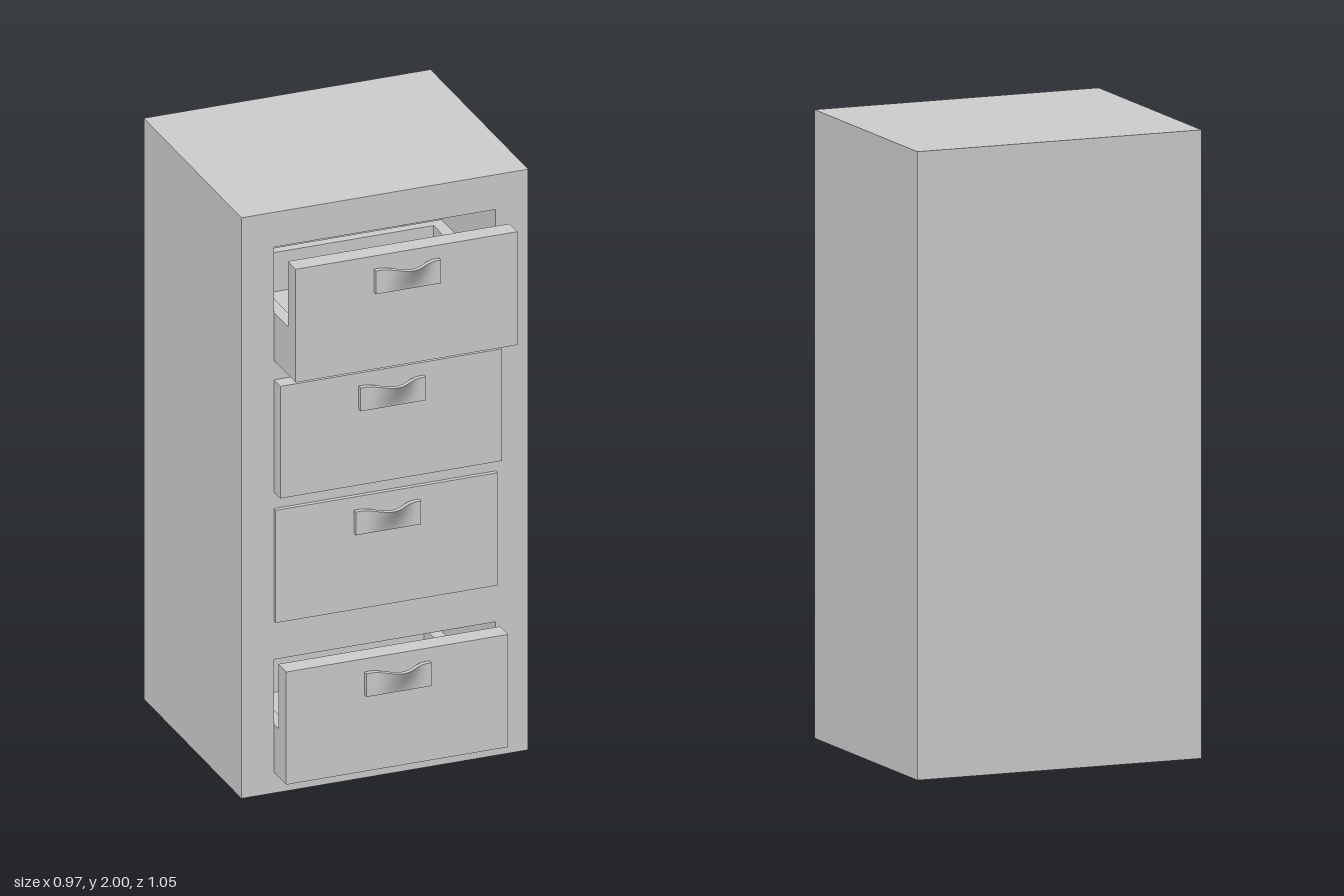
import * as THREE from 'three';

const material = new THREE.MeshStandardMaterial({ color: 0xcccccc });
const HALF_W = 0.485, BACK = -0.525, FACE = 0.285, CAVITY_BACK = -0.48;
const DRAWER_W = 0.75, PANEL_T = 0.065, TRAY_L = 0.565, TRAY_H = 0.165;

// bottom, top and front position of each drawer, from the top one down
const DRAWERS = [
  { bottom: 1.49, top: 1.88, front: 0.465 },
  { bottom: 1.037, top: 1.423, front: 0.338 },
  { bottom: 0.592, top: 0.98, front: 0.3 },
  { bottom: 0.072, top: 0.46, front: 0.387 },
];

function mesh(name, geometry) {
  const m = new THREE.Mesh(geometry, material);
  m.name = name;
  return m;
}

// box given by its minimum and maximum corners
function box(name, x0, y0, z0, x1, y1, z1) {
  const m = mesh(name, new THREE.BoxGeometry(x1 - x0, y1 - y0, z1 - z0));
  m.position.set((x0 + x1) / 2, (y0 + y1) / 2, (z0 + z1) / 2);
  return m;
}

function rectangle(target, x0, y0, x1, y1) {
  target.moveTo(x0, y0);
  target.lineTo(x1, y0);
  target.lineTo(x1, y1);
  target.lineTo(x0, y1);
  target.closePath();
  return target;
}

// thin plate bulging forward along its top edge, leaving a pocket open at the top
function handleGeometry() {
  const w = 0.22, h = 0.08, t = 0.016;
  const g = new THREE.BoxGeometry(w, h, t, 32, 10, 1);
  const p = g.attributes.position;
  for (let i = 0; i < p.count; i++) {
    const x = Math.min(Math.abs(p.getX(i)) / 0.095, 1);
    const rise = Math.pow((p.getY(i) + h / 2) / h, 1.2);
    const bulge = 0.044 * (0.5 + 0.5 * Math.cos(Math.PI * x)) * rise;
    p.setZ(i, p.getZ(i) + t / 2 + bulge);
  }
  g.translate(0, -h / 2, 0);
  g.computeVertexNormals();
  return g;
}

// carcass with a cavity for every drawer
function createCabinet() {
  const cabinet = new THREE.Group();
  cabinet.name = 'cabinet';
  const outline = rectangle(new THREE.Shape(), -HALF_W, 0, HALF_W, 2);
  for (const d of DRAWERS) {
    outline.holes.push(rectangle(new THREE.Path(), -DRAWER_W / 2, d.bottom, DRAWER_W / 2, d.top));
  }
  const carcass = mesh('carcass', new THREE.ExtrudeGeometry(outline, {
    depth: FACE - CAVITY_BACK, bevelEnabled: false,
  }));
  carcass.position.z = CAVITY_BACK;
  cabinet.add(carcass, box('backPanel', -HALF_W, 0, BACK, HALF_W, 2, CAVITY_BACK));
  return cabinet;
}

function createDrawer({ bottom, top, front }, handleGeo) {
  const drawer = new THREE.Group();
  drawer.name = 'drawer';
  const w = DRAWER_W / 2, inner = w - 0.04;
  const z1 = front - PANEL_T, z0 = z1 - TRAY_L, rim = bottom + TRAY_H;

  drawer.add(box('drawerFront', -w, bottom, z1, w, top, front));

  // low tray behind the front
  const ring = rectangle(new THREE.Shape(), -w, -z1, w, -z0);
  ring.holes.push(rectangle(new THREE.Path(), -inner, -z1 + 0.033, inner, -z0 - 0.033));
  const walls = mesh('trayWalls', new THREE.ExtrudeGeometry(ring, {
    depth: TRAY_H, bevelEnabled: false,
  }));
  walls.rotation.x = -Math.PI / 2;
  walls.position.y = rim - TRAY_H;
  const floor = box('trayFloor', -inner, bottom, z0 + 0.033, inner, bottom + 0.03, z1 - 0.033);
  drawer.add(walls, floor);

  const handle = mesh('handle', handleGeo);
  handle.position.set(0, top - 0.045, front);
  drawer.add(handle);
  return drawer;
}

export function createModel() {
  const model = new THREE.Group();
  model.name = 'drawerCabinet';
  const handleGeo = handleGeometry();
  model.add(createCabinet());
  for (const d of DRAWERS) model.add(createDrawer(d, handleGeo));
  return model;
}
